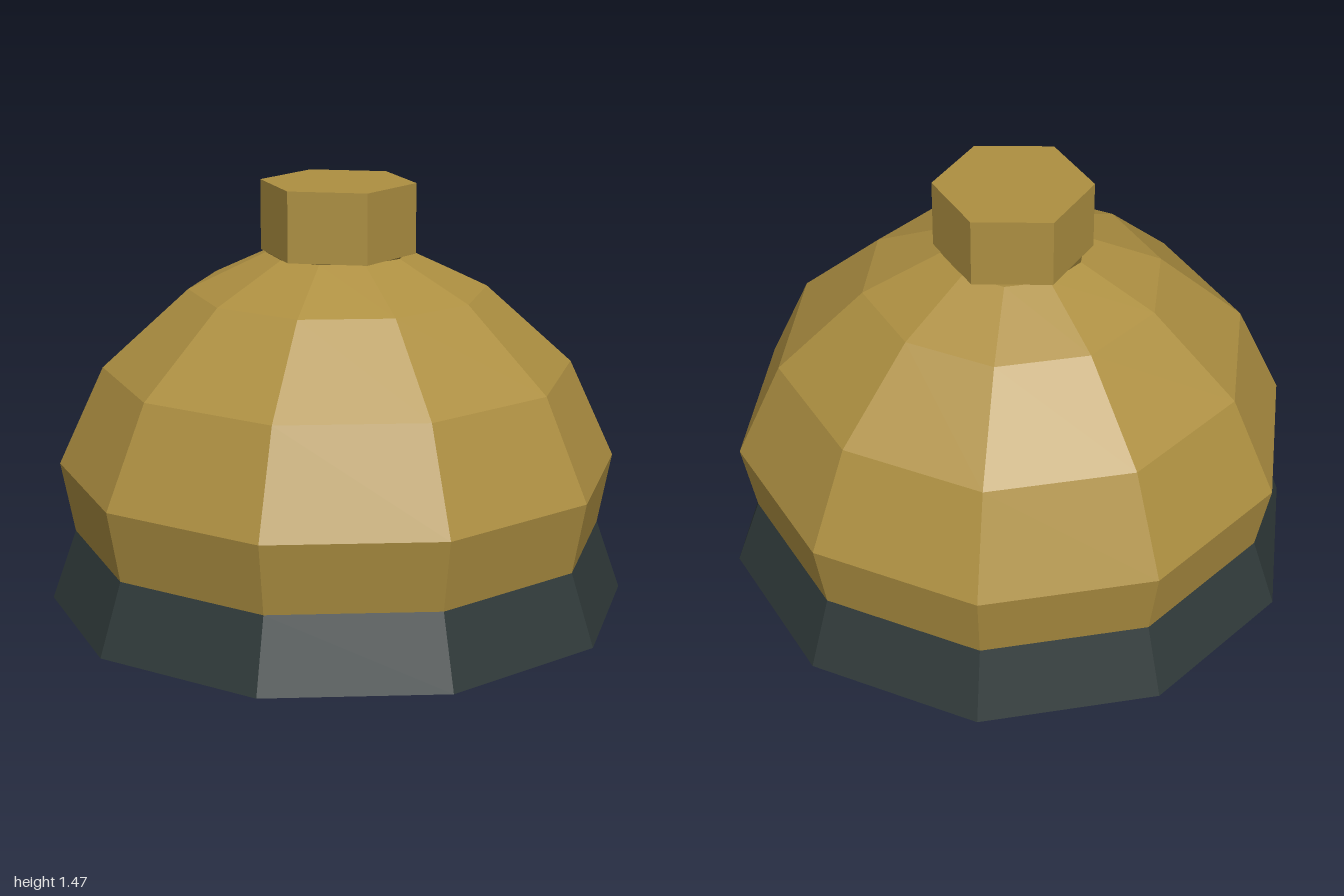
import * as THREE from 'three';

const SIDES = 10;

export function createModel() {
  const model = new THREE.Group();
  model.name = 'domeCap';

  const brass = new THREE.MeshStandardMaterial({ color: 0xad8f41, flatShading: true, side: THREE.DoubleSide });
  brass.name = 'brass';
  const slate = new THREE.MeshStandardMaterial({ color: 0x303a3a, flatShading: true, side: THREE.DoubleSide });
  slate.name = 'dark slate';

  const add = (name, geometry, material) => {
    const mesh = new THREE.Mesh(geometry, material);
    mesh.name = name;
    model.add(mesh);
    return mesh;
  };

  // Open ten-sided shell from [radius, height] pairs, listed upwards
  const shell = (profile) =>
    new THREE.LatheGeometry(profile.map(([r, y]) => new THREE.Vector2(r, y)), SIDES);

  // Flared base skirt, open underneath
  add('skirt', shell([[1, 0], [0.915, 0.245]]), slate);

  // Hollow faceted dome with a small opening under the knob
  add('dome', shell([[0.915, 0.245], [0.962, 0.49], [0.806, 0.83], [0.51, 1.1], [0.245, 1.225]]), brass);

  // Hexagonal knob on top
  add('knob', new THREE.CylinderGeometry(0.266, 0.266, 0.24, 6), brass).position.y = 1.345;

  return model;
}
